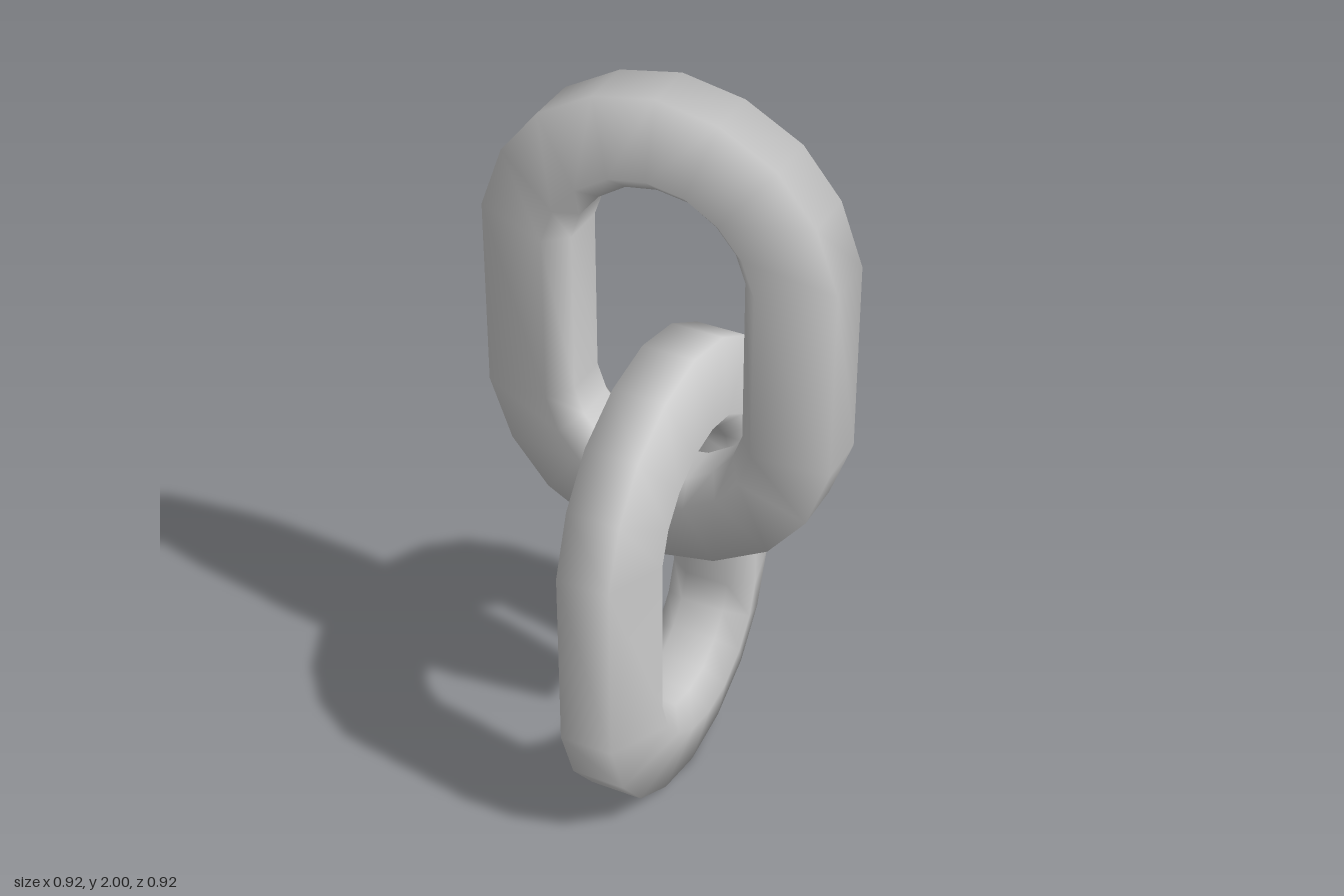
import * as THREE from 'three';

const material = new THREE.MeshStandardMaterial({ color: 0xcccccc });

// One quarter of the link's outer and inner outlines, from the leg to the crown
const outer = [[0.458, 0.25], [0.4, 0.41], [0.302, 0.53], [0.158, 0.61], [0, 0.64]];
const inner = [[0.225, 0.215], [0.2, 0.285], [0.15, 0.345], [0.08, 0.39], [0, 0.403]];

// Bar cross-section: [z, fraction of the way from the outer to the inner outline]
const section = [[-0.07, 0], [0.07, 0], [0.119, 0.79], [0.06, 1], [-0.06, 1], [-0.119, 0.79]];

// Mirror a quarter outline into a closed counter-clockwise loop
function closedLoop(quarter) {
  const place = (points, sx, sy) => points.map(([x, y]) => [x * sx, y * sy]);
  const back = [...quarter].reverse().slice(1);
  return [
    ...place(quarter, 1, 1), ...place(back, -1, 1),
    ...place(quarter, -1, -1), ...place(back, 1, -1),
  ];
}

// Sweep the bar section around the link
function linkGeometry() {
  const outLoop = closedLoop(outer);
  const inLoop = closedLoop(inner);
  const rings = outLoop.length;
  const sides = section.length;
  const positions = [];
  const indices = [];
  for (let i = 0; i < rings; i++) {
    const [ox, oy] = outLoop[i];
    const [ix, iy] = inLoop[i];
    for (let j = 0; j < sides; j++) {
      const [z, t] = section[j];
      positions.push(ox + (ix - ox) * t, oy + (iy - oy) * t, z);
      const i2 = (i + 1) % rings;
      const j2 = (j + 1) % sides;
      const a = i * sides + j, b = i2 * sides + j;
      const c = i2 * sides + j2, d = i * sides + j2;
      indices.push(a, b, c, a, c, d);
    }
  }
  const geometry = new THREE.BufferGeometry();
  geometry.setAttribute('position', new THREE.Float32BufferAttribute(positions, 3));
  geometry.setIndex(indices);
  geometry.computeVertexNormals();
  return geometry;
}

export function createModel() {
  const group = new THREE.Group();
  group.name = 'chainLinks';
  const geometry = linkGeometry();

  // Upper link faces the front
  const upperLink = new THREE.Mesh(geometry, material);
  upperLink.name = 'upperLink';
  upperLink.position.y = 1.36;

  // Lower link is turned a quarter and passes through the upper one
  const lowerLink = new THREE.Mesh(geometry, material);
  lowerLink.name = 'lowerLink';
  lowerLink.position.y = 0.64;
  lowerLink.rotation.y = Math.PI / 2;

  group.add(upperLink, lowerLink);
  return group;
}
